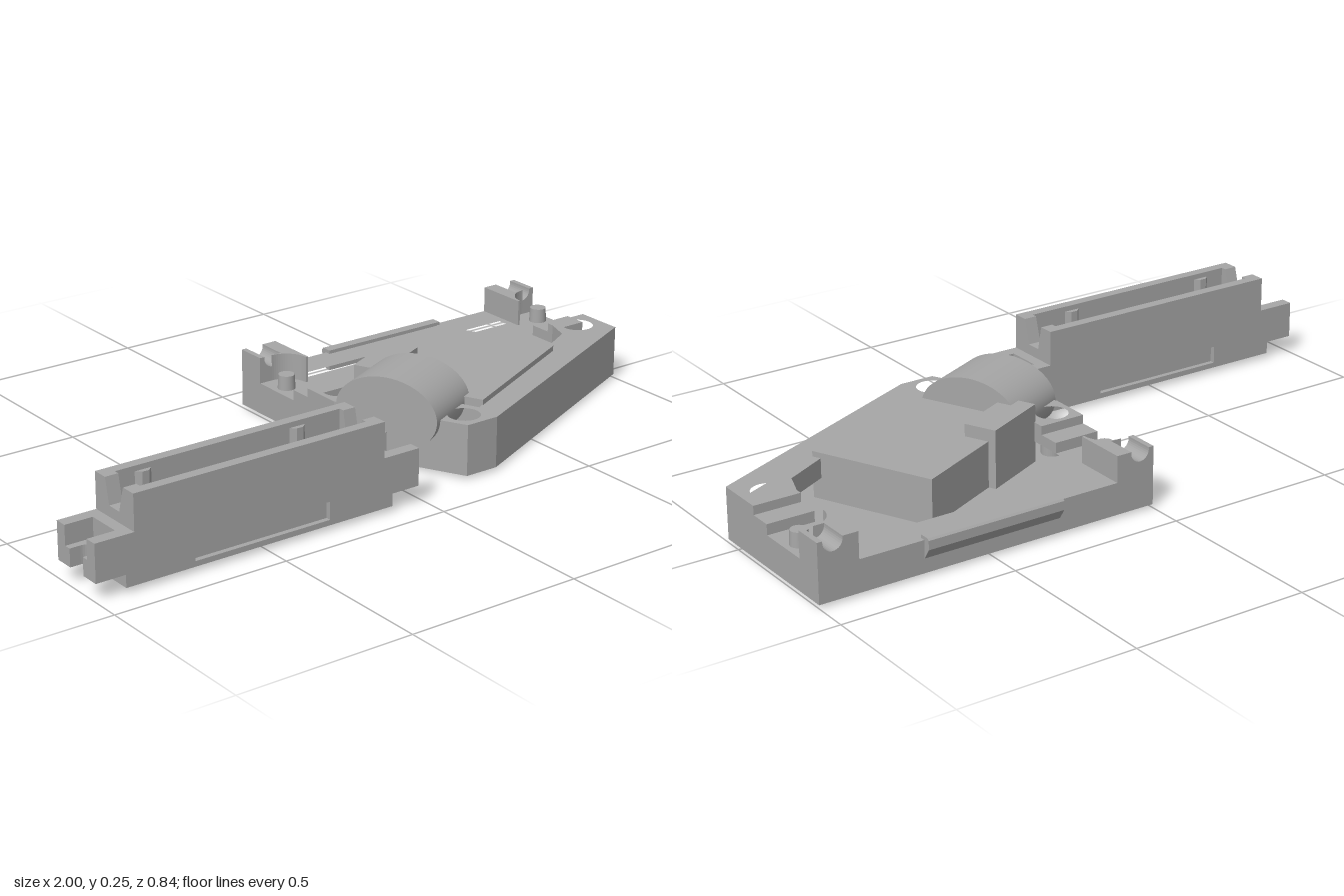
import * as THREE from 'three';

const grey = new THREE.MeshStandardMaterial({ color: 0xa6a6a6 });
grey.name = 'grey plastic';

function add(parent, name, geometry) {
  const mesh = new THREE.Mesh(geometry, grey);
  mesh.name = name;
  parent.add(mesh);
  return mesh;
}

function outline(points, Type = THREE.Shape) {
  return new Type(points.map(([a, b]) => new THREE.Vector2(a, b)));
}

// Plan outline given as [x, z], raised from y0 to y1
function plan(points, y0, y1, holes = []) {
  const shape = outline(points.map(([x, z]) => [x, -z]));
  for (const h of holes) shape.holes.push(outline(h.map(([x, z]) => [x, -z]), THREE.Path));
  return new THREE.ExtrudeGeometry(shape, { depth: y1 - y0, bevelEnabled: false })
    .rotateX(-Math.PI / 2).translate(0, y0, 0);
}

// Side outline given as [z, y], running from x0 to x1
function side(points, x0, x1) {
  return new THREE.ExtrudeGeometry(outline(points.map(([z, y]) => [-z, y])),
    { depth: x1 - x0, bevelEnabled: false }).rotateY(Math.PI / 2).translate(x0, 0, 0);
}

// Front outline given as [x, y], running from z0 to z1
function front(points, z0, z1, hole) {
  const shape = outline(points);
  if (hole) shape.holes.push(outline(hole, THREE.Path));
  return new THREE.ExtrudeGeometry(shape, { depth: z1 - z0, bevelEnabled: false }).translate(0, 0, z0);
}

function box(x0, x1, y0, y1, z0, z1) {
  return new THREE.BoxGeometry(x1 - x0, y1 - y0, z1 - z0)
    .translate((x0 + x1) / 2, (y0 + y1) / 2, (z0 + z1) / 2);
}

function arc(cx, cy, r, a0, a1, n = 16) {
  return Array.from({ length: n + 1 }, (_, i) => {
    const a = a0 + (a1 - a0) * i / n;
    return [cx + r * Math.cos(a), cy + r * Math.sin(a)];
  });
}
const circle = (x, z, r) => arc(x, z, r, 0, Math.PI * 2 * 31 / 32, 31);
const rect = (a0, a1, b0, b1) => [[a0, b0], [a1, b0], [a1, b1], [a0, b1]];

function createHousing() {
  const g = new THREE.Group();
  g.name = 'housing';
  const screws = [[0.06, -0.03], [0.925, -0.03], [0.22, 0.31]];
  const slope = [[1, 0.05], [0.28, 0.375], [0.18, 0.375], [0, 0.03]];
  const base = [[0, -0.4], [1, -0.4], ...slope];
  const cavity = [[0.135, -0.305], [0.865, -0.305], [0.865, -0.07], [0.84, 0], [0.285, 0.295], [0.135, -0.03]];
  add(g, 'floor', plan(base, 0.01, 0.04));
  add(g, 'lowerWall', plan(base, 0.04, 0.1, [cavity, ...screws.map(([x, z]) => circle(x, z, 0.03))]));
  add(g, 'upperWall', plan([[0, -0.09], [0.135, -0.09], [0.135, -0.03], [0.285, 0.295], [0.84, 0],
    [0.865, -0.07], [0.865, -0.09], [1, -0.09], ...slope], 0.1, 0.155,
  screws.map(([x, z]) => circle(x, z, 0.045))));
  for (const [x, z] of screws) {
    add(g, 'screwFoot', new THREE.CylinderGeometry(0.05, 0.05, 0.008, 32).translate(x, 0.008, z));
  }

  // Corner fittings, mirrored about the housing's middle
  for (const s of [1, -1]) {
    const m = (pts) => pts.map(([x, b]) => [s > 0 ? x : 1 - x, b]);
    add(g, 'ledgeStep', plan(m(rect(0.865, 1, -0.155, -0.09)), 0.1, 0.13));
    add(g, 'saddle', front(m([[0.885, 0.1], [1, 0.1], [1, 0.175], [0.985, 0.175],
      ...arc(0.957, 0.17, 0.028, 0, -Math.PI), [0.929, 0.175], [0.885, 0.175]]), -0.4, -0.313));
    add(g, 'pinPocket', plan(m([[0.885, -0.313], ...arc(0.96, -0.245, 0.068, -Math.PI / 2, -Math.PI),
      [0.885, -0.245]]), 0.1, 0.175));
    add(g, 'pin', new THREE.CylinderGeometry(0.023, 0.025, 0.042, 24)
      .translate(s > 0 ? 0.96 : 0.04, 0.12, -0.243));
  }

  // Snap lip on the back edge
  add(g, 'snapLip', side([[-0.385, 0.05], [-0.4, 0.05], [-0.42, 0.08], [-0.42, 0.105],
    [-0.415, 0.11], [-0.385, 0.11]], 0.295, 0.7));

  // Angled insert with its oval barrel
  const turn = 0.44;
  const body = add(g, 'insertBody', new THREE.BoxGeometry(0.47, 0.135, 0.362));
  body.position.set(0.438, 0.1025, 0.025);
  const block = add(g, 'insertBlock', new THREE.BoxGeometry(0.205, 0.205, 0.093));
  block.position.set(0.243, 0.1025, -0.056);
  const barrel = add(g, 'ovalBarrel', new THREE.CylinderGeometry(1, 1, 1, 64)
    .rotateZ(Math.PI / 2).scale(0.2, 0.1025, 0.15));
  barrel.position.set(0.152, 0.1525, 0.135);
  for (const part of [body, block, barrel]) part.rotation.y = turn;
  return g;
}

function createFrame() {
  const g = new THREE.Group();
  g.name = 'openFrame';
  const cx = -0.51, cz = 0.335;
  g.position.set(cx, 0, cz);
  const half = 0.085;

  for (const s of [1, -1]) {
    // Long wall with a shallow outer recess
    const z = (a, b) => [Math.min(s * a, s * b), Math.max(s * a, s * b)];
    add(g, 'longWallInside', box(-0.378, 0.378, 0.015, 0.255, ...z(0.055, 0.07)));
    add(g, 'longWallOutside', front(rect(-0.378, 0.378, 0.015, 0.255), ...z(0.07, half),
      rect(-0.205, 0.205, 0.03, 0.08)));
    for (const x of [-0.26, 0.205]) {
      add(g, 'innerRib', plan([[x - 0.025, s * 0.056], [x + 0.025, s * 0.056],
        [x + 0.01, s * 0.042], [x - 0.01, s * 0.042]], 0.1, 0.24));
    }

    // End wall dipped in the middle, with a wider foot
    const x = z;
    add(g, 'endWall', side([[-half, 0.015], [half, 0.015], [half, 0.255], [0.04, 0.255],
      [0.02, 0.185], [-0.025, 0.185], [-0.04, 0.255], [-half, 0.255]], ...x(0.34, 0.378)));
    add(g, 'endFoot', box(...x(0.37, 0.405), 0.015, 0.155, -half, half));

    // Slotted mounting tab with a recess for the screw head
    const m = (pts) => pts.map(([px, pz]) => [s * px, pz]);
    add(g, 'tabLower', plan(m([[0.4, -half], [0.49, -half], [0.49, -0.03],
      ...arc(0.46, 0, 0.03, -Math.PI / 2, -Math.PI * 1.5), [0.49, 0.03], [0.49, half], [0.4, half]]), 0.05, 0.1));
    add(g, 'tabUpper', plan(m([[0.4, -half], [0.49, -half], [0.49, -0.05], [0.41, -0.05],
      [0.41, 0.05], [0.49, 0.05], [0.49, half], [0.4, half]]), 0.1, 0.155));
  }
  return g;
}

export function createModel() {
  const model = new THREE.Group();
  model.name = 'enclosureParts';
  model.add(createHousing(), createFrame());
  return model;
}
